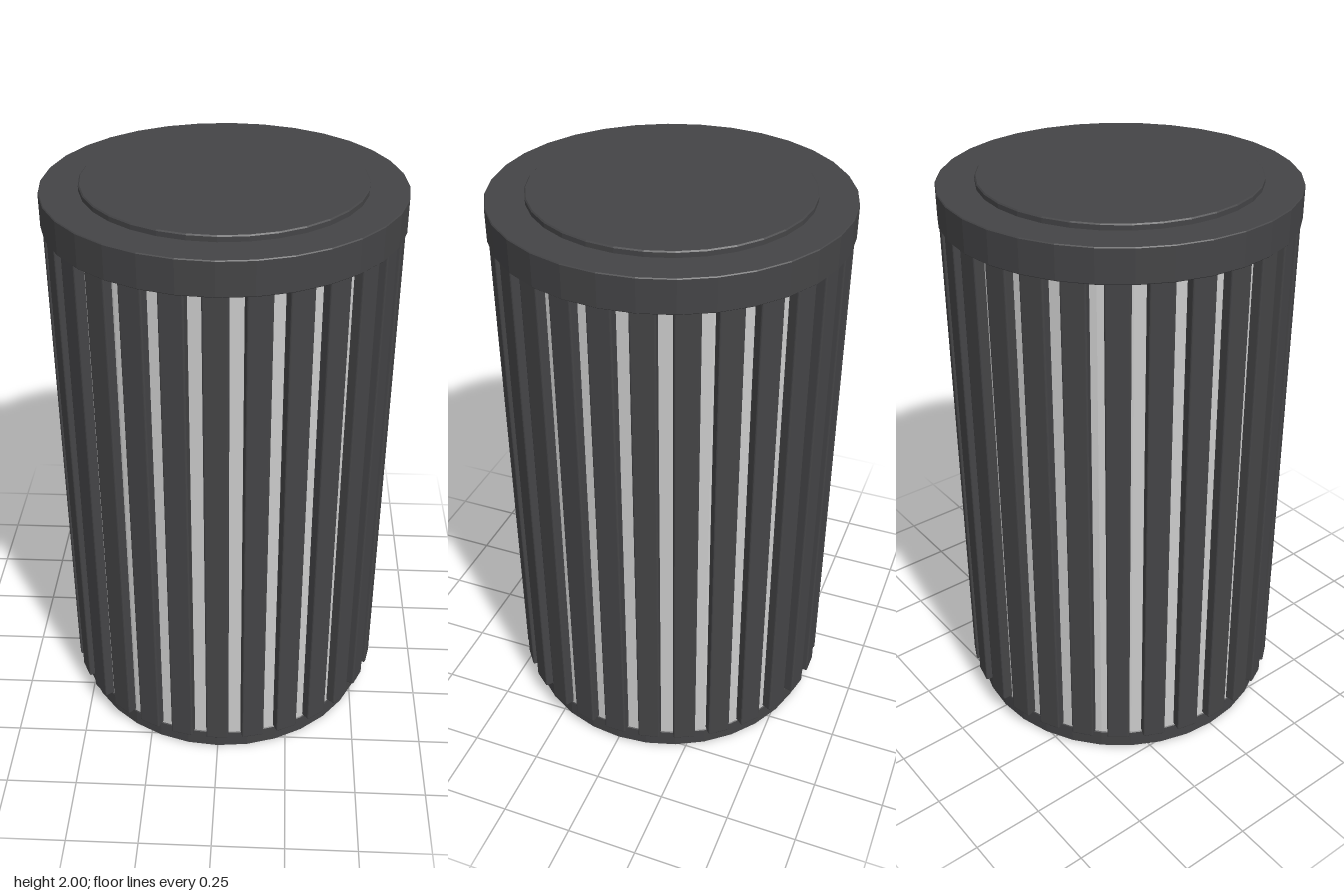
import * as THREE from 'three';
import { RoundedBoxGeometry } from 'three/addons/geometries/RoundedBoxGeometry.js';

const dark = new THREE.MeshStandardMaterial({ color: 0x444446, flatShading: true });
const grey = new THREE.MeshStandardMaterial({ color: 0xcccccc, flatShading: true });

const SLATS = 28;
const SIDES = 32;

// Closed disc with lightly chamfered rims
function disc(name, radius, y0, y1, bevel, material) {
  const profile = [
    [0, y0], [radius - bevel, y0], [radius, y0 + bevel],
    [radius, y1 - bevel], [radius - bevel, y1], [0, y1],
  ].map(([x, y]) => new THREE.Vector2(x, y));
  const mesh = new THREE.Mesh(new THREE.LatheGeometry(profile, SIDES), material);
  mesh.name = name;
  return mesh;
}

export function createModel() {
  const bin = new THREE.Group();
  bin.name = 'slattedBin';

  // Foot, inner drum, lid and raised lid panel
  bin.add(disc('base', 0.556, 0, 0.075, 0.006, dark));
  const liner = new THREE.Mesh(new THREE.CylinderGeometry(0.553, 0.553, 1.8, SIDES), grey);
  liner.name = 'liner';
  liner.position.y = 0.97;
  bin.add(liner);
  bin.add(disc('lid', 0.592, 1.865, 1.98, 0.003, dark));
  bin.add(disc('lidPanel', 0.465, 1.97, 2, 0.004, dark));

  // Ring of upright slats around the drum
  const slats = new THREE.Group();
  slats.name = 'slats';
  const slatGeometry = new RoundedBoxGeometry(0.08, 1.8, 0.045, 2, 0.006);
  for (let i = 0; i < SLATS; i++) {
    const angle = (i / SLATS) * Math.PI * 2;
    const slat = new THREE.Mesh(slatGeometry, dark);
    slat.name = 'slat';
    slat.position.set(Math.sin(angle) * 0.5625, 0.975, Math.cos(angle) * 0.5625);
    slat.rotation.y = angle;
    slats.add(slat);
  }
  bin.add(slats);
  return bin;
}
